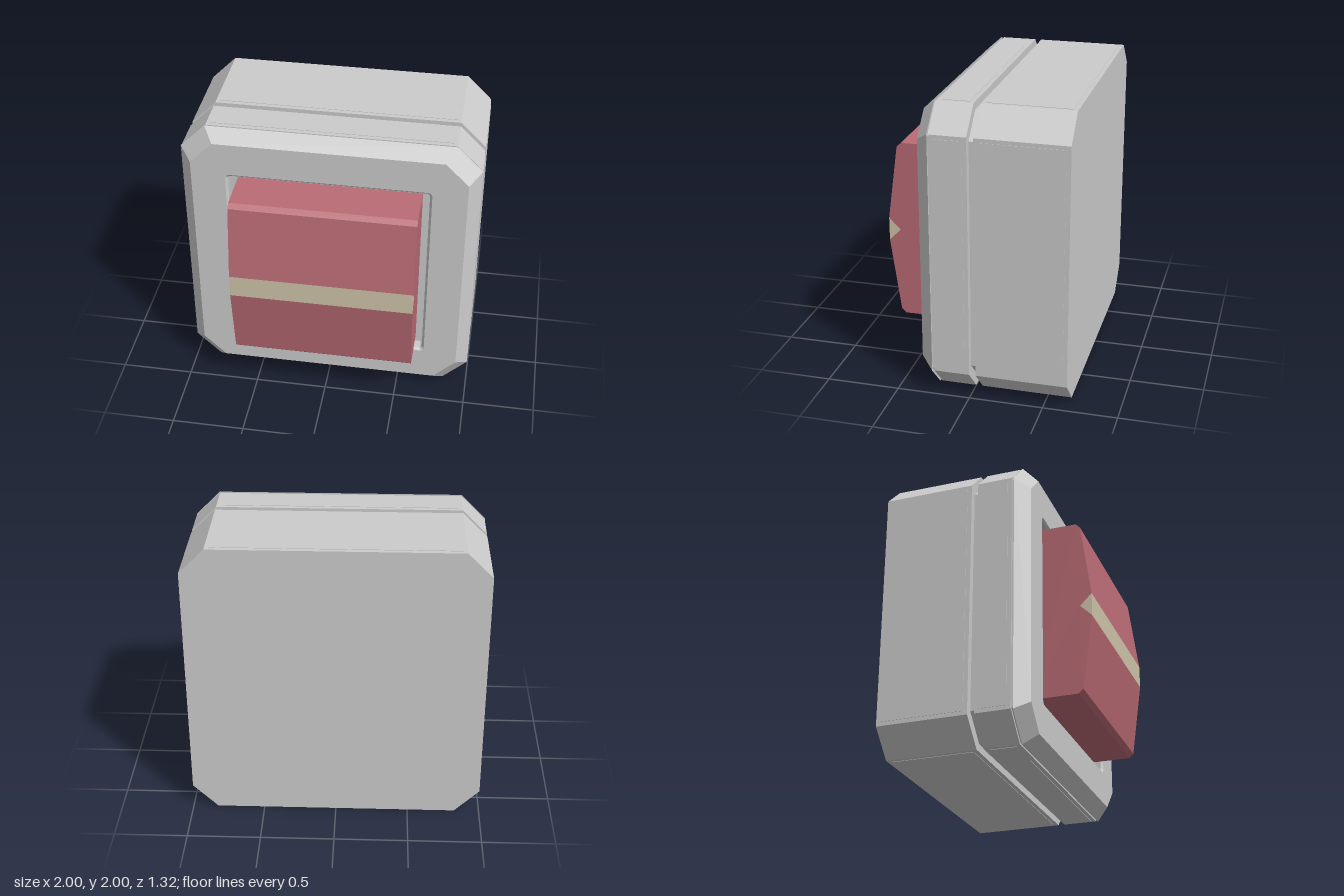
import * as THREE from 'three';

const grey = new THREE.MeshStandardMaterial({ color: 0xcccccc, flatShading: true });
const red = new THREE.MeshStandardMaterial({ color: 0xba6b74, flatShading: true });
const cream = new THREE.MeshStandardMaterial({ color: 0xd1c6ab, flatShading: true });

const v2 = (x, y) => new THREE.Vector2(x, y);

// Square with cut corners, counter-clockwise
function octagon(half, cut) {
  const f = half - cut;
  return [
    v2(half, -f), v2(half, f), v2(f, half), v2(-f, half),
    v2(-half, f), v2(-half, -f), v2(-f, -half), v2(f, -half),
  ];
}

// Square with rounded corners, counter-clockwise
function roundedSquare(half, r, steps = 4) {
  const points = [];
  const c = half - r;
  for (let q = 0; q < 4; q++) {
    const mid = Math.PI / 4 + q * Math.PI / 2;
    const cx = c * Math.sign(Math.cos(mid)), cy = c * Math.sign(Math.sin(mid));
    for (let i = 0; i <= steps; i++) {
      const a = (q + i / steps) * Math.PI / 2;
      points.push(v2(cx + r * Math.cos(a), cy + r * Math.sin(a)));
    }
  }
  return points;
}

// Walls between successive outlines, each given as [points, z]
function walls(sections) {
  const pos = [];
  for (let s = 0; s < sections.length - 1; s++) {
    const [a, za] = sections[s], [b, zb] = sections[s + 1];
    for (let i = 0; i < a.length; i++) {
      const j = (i + 1) % a.length;
      pos.push(a[i].x, a[i].y, za, a[j].x, a[j].y, za, b[j].x, b[j].y, zb);
      pos.push(a[i].x, a[i].y, za, b[j].x, b[j].y, zb, b[i].x, b[i].y, zb);
    }
  }
  const geo = new THREE.BufferGeometry();
  geo.setAttribute('position', new THREE.Float32BufferAttribute(pos, 3));
  geo.computeVertexNormals();
  return geo;
}

function prism(points, z0, z1) {
  return new THREE.ExtrudeGeometry(new THREE.Shape(points), { depth: z1 - z0, bevelEnabled: false })
    .translate(0, 0, z0);
}

// Extrudes a (z, y) profile across the width
function across(profile, halfWidth) {
  return prism(profile, -halfWidth, halfWidth).rotateY(-Math.PI / 2);
}

function add(parent, name, geometry, material = grey) {
  const mesh = new THREE.Mesh(geometry, material);
  mesh.name = name;
  parent.add(mesh);
  return mesh;
}

export function createModel() {
  const model = new THREE.Group();
  model.name = 'rockerSwitch';
  const body = new THREE.Group();
  body.name = 'switchBody';
  body.position.y = 1;
  model.add(body);

  // Housing: deep back box, seam, front ring, thin seam
  const outer = octagon(0.997, 0.17);
  add(body, 'backBox', prism(outer, -0.66, -0.045));
  add(body, 'seam', prism(octagon(0.945, 0.16), -0.045, 0));
  add(body, 'frontRing', prism(outer, 0, 0.24));
  add(body, 'bezelSeam', prism(octagon(0.985, 0.17), 0.24, 0.26));

  // Thin panels on the four flat sides of the box and the ring
  for (const [name, z0, z1] of [['backBoxPanel', -0.63, -0.075], ['frontRingPanel', 0.03, 0.21]]) {
    for (let i = 0; i < 4; i++) {
      const geo = new THREE.BoxGeometry(0.01, 1.6, z1 - z0)
        .translate(0.995, 0, (z0 + z1) / 2)
        .rotateZ(i * Math.PI / 2);
      add(body, name, geo);
    }
  }

  // Bezel: sloped rim, front face with opening, stepped opening walls
  const bezel = new THREE.Group();
  bezel.name = 'bezel';
  body.add(bezel);
  const rimFront = octagon(0.92, 0.155);
  const mouth = roundedSquare(0.688, 0.03);
  const throat = roundedSquare(0.672, 0.02);
  add(bezel, 'bezelRim', walls([[octagon(1, 0.17), 0.255], [rimFront, 0.345]]));
  const back = new THREE.Shape(octagon(1, 0.17));
  back.holes.push(new THREE.Path(throat));
  add(bezel, 'bezelBack', new THREE.ShapeGeometry(back).rotateY(Math.PI).translate(0, 0, 0.255));
  const face = new THREE.Shape(rimFront);
  face.holes.push(new THREE.Path(mouth));
  add(bezel, 'bezelFace', new THREE.ShapeGeometry(face).translate(0, 0, 0.345));
  add(bezel, 'opening', walls([[mouth, 0.345], [throat, 0.33], [throat, 0.26]]));

  // Rocker with a notch across its ridge
  const profile = [
    v2(0.255, -0.62), v2(0.56, -0.62), v2(0.59, -0.59), v2(0.66, -0.08), v2(0.58, 0),
    v2(0.66, 0.08), v2(0.59, 0.59), v2(0.56, 0.62), v2(0.255, 0.62),
  ];
  add(body, 'rocker', across(profile, 0.62), red);

  // Stripe filling the notch
  add(body, 'stripe', across([v2(0.66, -0.08), v2(0.66, 0.08), v2(0.58, 0)], 0.62), cream);

  return model;
}
